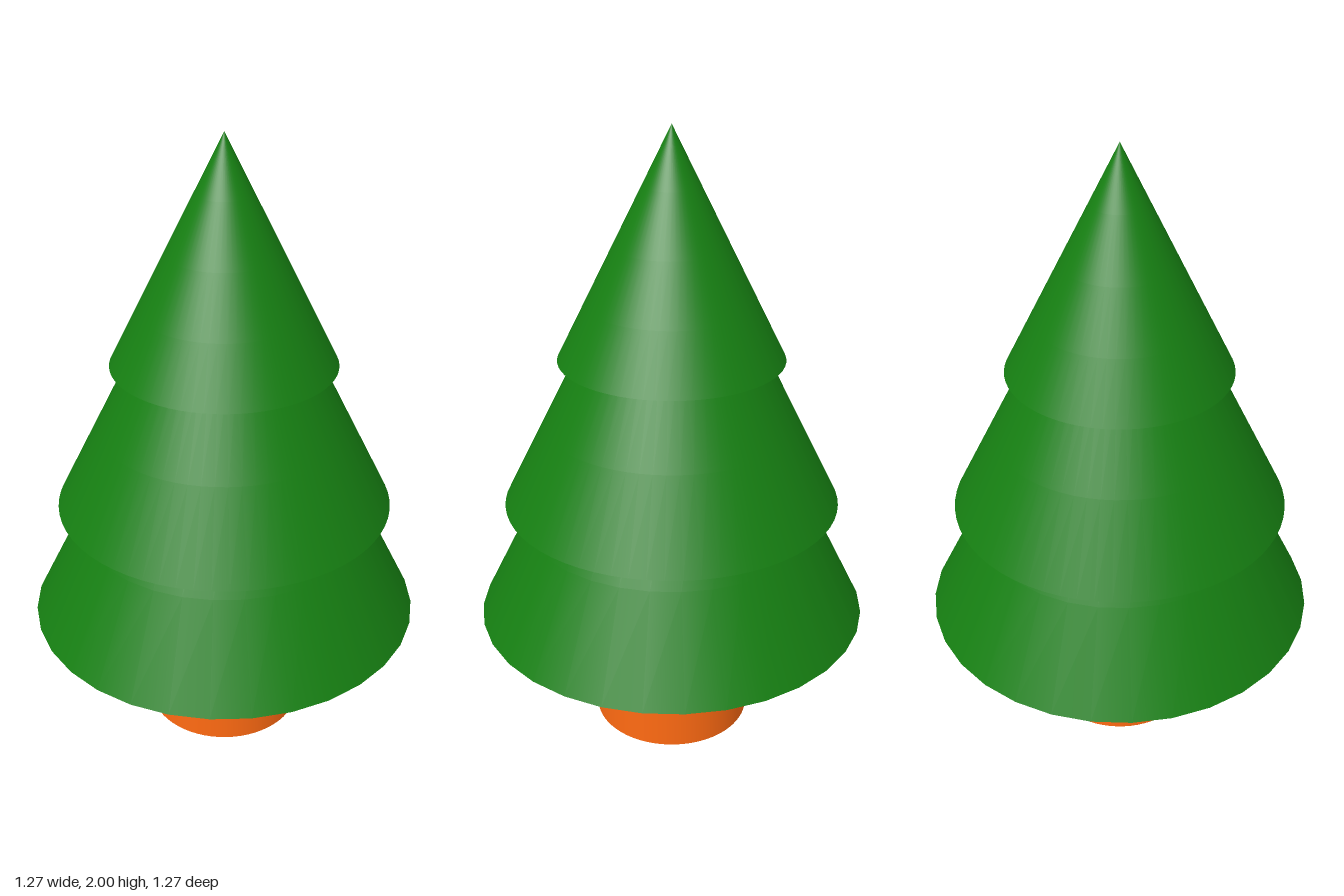
import * as THREE from 'three';

export function createModel() {
  const tree = new THREE.Group();
  tree.name = 'tree';
  const green = new THREE.MeshStandardMaterial({ color: 0x168012 });
  const orange = new THREE.MeshStandardMaterial({ color: 0xff6a12 });

  // Trunk, ending just inside the lowest tier
  const trunk = new THREE.Mesh(new THREE.CylinderGeometry(0.26, 0.26, 0.43, 64), orange);
  trunk.name = 'trunk';
  trunk.position.y = 0.215;
  tree.add(trunk);

  // Three nested foliage cones: base height, apex height, base radius, sides
  const tiers = [
    ['lowerFoliage', 0.415, 1.69, 0.637, 32],
    ['middleFoliage', 0.81, 1.89, 0.54, 64],
    ['upperFoliage', 1.29, 2, 0.355, 64],
  ];
  for (const [name, base, apex, radius, sides] of tiers) {
    const cone = new THREE.Mesh(new THREE.ConeGeometry(radius, apex - base, sides, 4), green);
    cone.name = name;
    cone.position.y = (base + apex) / 2;
    tree.add(cone);
  }
  return tree;
}
